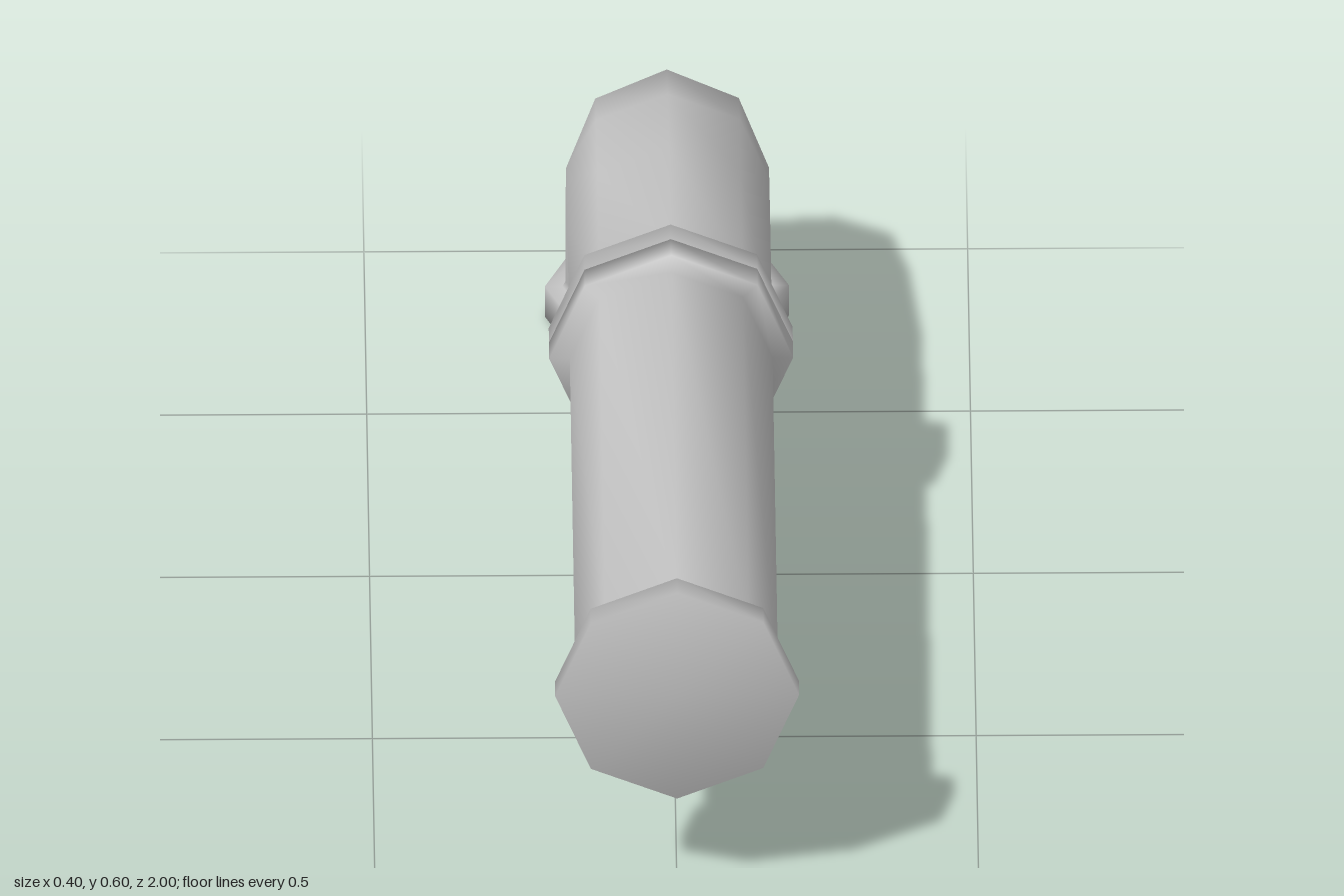
import * as THREE from 'three';

const SIDES = 8;
const BORE = 0.168, RIM = 0.202;

const metal = new THREE.MeshStandardMaterial({ color: 0xc2c2c2 });
metal.name = 'grey metal';

// A ring is its outer-bend point, its inner-bend point (both [z, y]) and its half width in x.
const upright = (z, r) => [[z, 0.4 + r], [z, 0.4 - r], r];
const level = (y, r) => [[-0.797 - r, y], [-0.797 + r, y], r];

// Capped octagonal skin through a row of rings, with shared smooth normals.
function skin(name, rings) {
  const pos = [], index = [];
  const mid = ([o, i]) => [(o[0] + i[0]) / 2, (o[1] + i[1]) / 2];
  for (const ring of rings) {
    const [outer, , width] = ring;
    const [cz, cy] = mid(ring);
    for (let k = 0; k < SIDES; k++) {
      const a = (k / SIDES) * Math.PI * 2;
      pos.push(Math.sin(a) * width, cy + Math.cos(a) * (outer[1] - cy), cz + Math.cos(a) * (outer[0] - cz));
    }
  }
  const last = rings.length - 1;
  const startCap = pos.length / 3, endCap = startCap + 1;
  for (const ring of [rings[0], rings[last]]) {
    const [cz, cy] = mid(ring);
    pos.push(0, cy, cz);
  }
  for (let k = 0; k < SIDES; k++) {
    const n = (k + 1) % SIDES;
    for (let i = 0; i < last; i++) {
      const a = i * SIDES + k, b = i * SIDES + n;
      index.push(a, b, a + SIDES, b, b + SIDES, a + SIDES);
    }
    index.push(startCap, n, k);
    index.push(endCap, last * SIDES + k, last * SIDES + n);
  }
  const geo = new THREE.BufferGeometry();
  geo.setAttribute('position', new THREE.Float32BufferAttribute(pos, 3));
  geo.setIndex(index);
  geo.computeVertexNormals();
  const mesh = new THREE.Mesh(geo, metal);
  mesh.name = name;
  return mesh;
}

export function createModel() {
  const group = new THREE.Group();
  group.name = 'pipe';

  // Straight length with a flange at each end
  group.add(skin('straightPipe', [
    upright(1, RIM), upright(0.955, RIM), upright(0.955, BORE),
    upright(-0.04, BORE), upright(-0.04, RIM), upright(-0.09, RIM),
  ]));

  // Elbow turning down to the foot flange
  group.add(skin('elbowPipe', [
    upright(-0.09, RIM), upright(-0.135, RIM), upright(-0.135, BORE),
    [[-0.44, 0.56], [-0.44, 0.233], BORE],
    [[-0.66, 0.523], [-0.585, 0.236], BORE],
    [[-0.82, 0.47], [-0.61, 0.218], BORE],
    level(0.2, BORE), level(0.07, BORE),
    level(0.06, 0.173), level(0.06, RIM), level(0, RIM),
  ]));

  return group;
}
